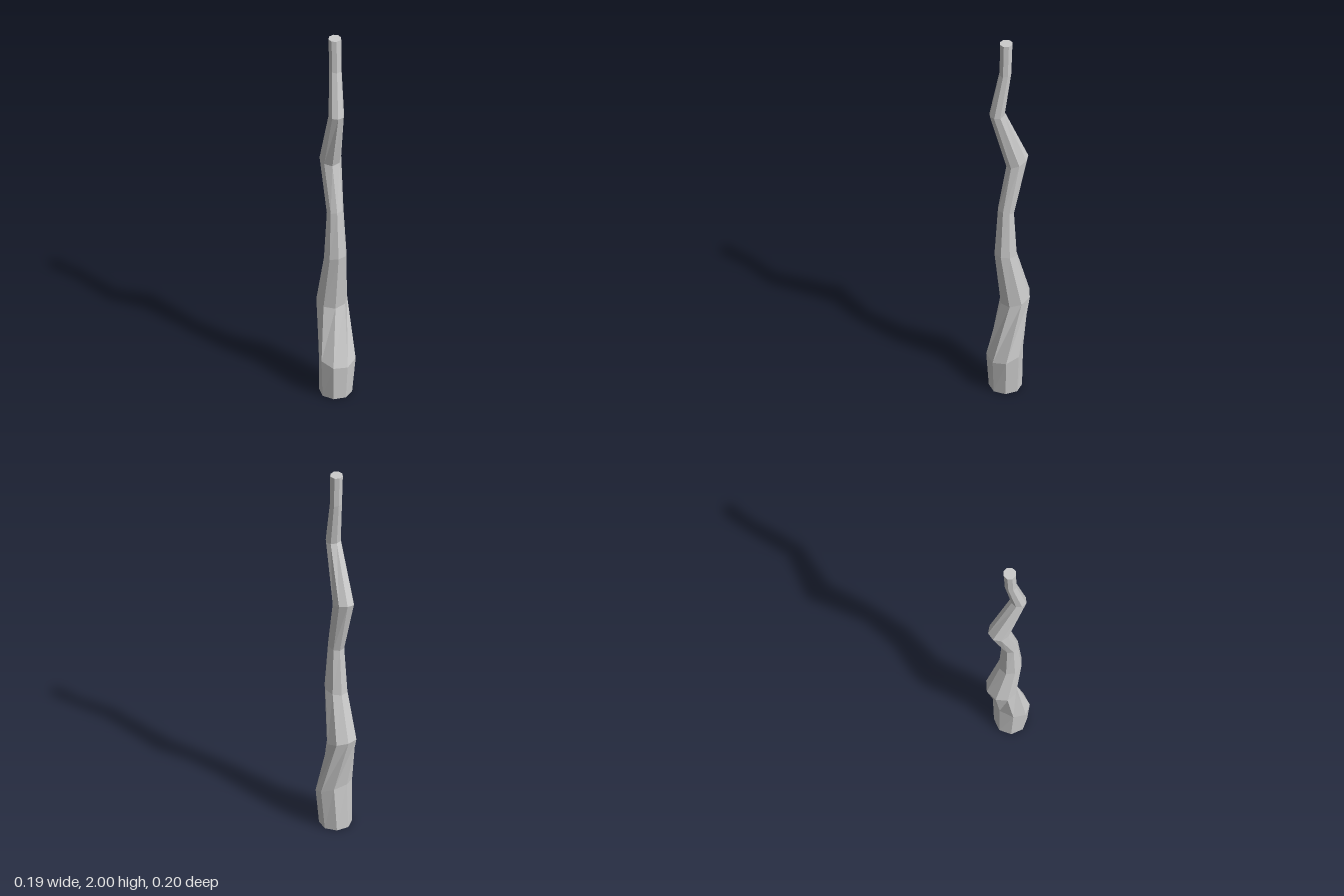
import * as THREE from 'three';

const SIDES = 8;

// One row per bend: centre x, y, z, radius x, radius z, tilt along x, tilt along z, twist
const RINGS = [
  [-0.005, 0, 0.017, 0.078, 0.078, 0, 0, 0],
  [-0.002, 0.21, 0.025, 0.093, 0.08, 0.05, -0.45, 0],
  [0.01, 0.5, -0.033, 0.075, 0.072, 0.1, -0.3, 0.39],
  [-0.006, 0.77, 0.015, 0.054, 0.057, 0.03, 0.2, 0.39],
  [-0.005, 1.02, 0.013, 0.041, 0.039, 0, 0.3, 0.39],
  [0.012, 1.29, -0.045, 0.049, 0.056, 0.25, -0.28, 0.25],
  [-0.027, 1.595, 0.05, 0.038, 0.037, 0, -0.12, 0.39],
  [-0.006, 1.83, 0.016, 0.03, 0.03, 0.03, -0.25, 0.39],
  [-0.005, 2, 0.011, 0.031, 0.031, 0, 0, 0.39],
];

// Loft the tilted rings into a closed, faceted stick
function loft(rings) {
  const positions = [];
  const indices = [];
  for (const [x, y, z, rx, rz, tiltX, tiltZ, twist] of rings) {
    for (let i = 0; i < SIDES; i++) {
      const a = (i / SIDES) * Math.PI * 2 + twist;
      const dx = Math.sin(a) * rx;
      const dz = Math.cos(a) * rz;
      positions.push(x + dx, y + dx * tiltX + dz * tiltZ, z + dz);
    }
  }
  for (let r = 0; r < rings.length - 1; r++) {
    for (let i = 0; i < SIDES; i++) {
      const j = (i + 1) % SIDES;
      const a = r * SIDES + i, b = r * SIDES + j;
      indices.push(a, b, b + SIDES, a, b + SIDES, a + SIDES);
    }
  }
  // End caps
  const top = (rings.length - 1) * SIDES;
  for (let i = 1; i < SIDES - 1; i++) {
    indices.push(0, i + 1, i);
    indices.push(top, top + i, top + i + 1);
  }
  const indexed = new THREE.BufferGeometry();
  indexed.setAttribute('position', new THREE.Float32BufferAttribute(positions, 3));
  indexed.setIndex(indices);
  const geometry = indexed.toNonIndexed();
  geometry.computeVertexNormals();
  return geometry;
}

export function createModel() {
  const group = new THREE.Group();
  group.name = 'crookedStick';
  const material = new THREE.MeshStandardMaterial({ color: 0xcccccc, flatShading: true });
  const shaft = new THREE.Mesh(loft(RINGS), material);
  shaft.name = 'shaft';
  group.add(shaft);
  return group;
}
